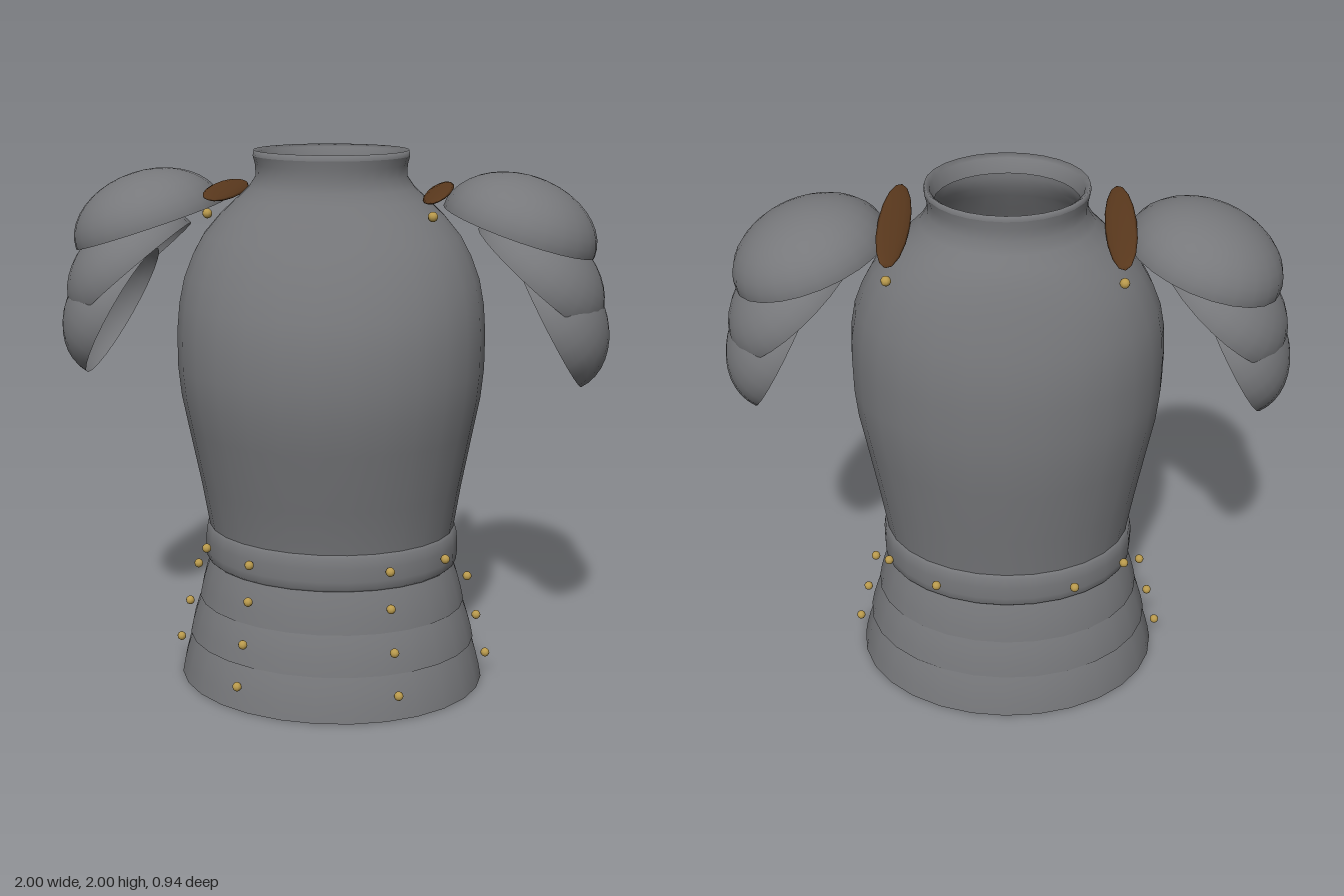
import * as THREE from 'three';

const steel = new THREE.MeshStandardMaterial({ color: 0x77787b, side: THREE.DoubleSide });
steel.name = 'steel';
const brass = new THREE.MeshStandardMaterial({ color: 0xb8994c });
brass.name = 'brass';
const leather = new THREE.MeshStandardMaterial({ color: 0x5c3a1e });
leather.name = 'leather';

// Closed shell through oval rows, bottom to top: [y, half width, front z, back z]
function loft(rows, segments = 28) {
  const pos = [], index = [];
  rows.forEach(([y, rx, front, back], i) => {
    for (let j = 0; j < segments; j++) {
      const t = (j / segments) * Math.PI * 2;
      const mid = (front - back) / 2, half = (front + back) / 2;
      pos.push(rx * Math.sin(t), y, mid + half * Math.cos(t));
      if (i < rows.length - 1) {
        const a = i * segments + j, b = i * segments + (j + 1) % segments;
        index.push(a, b, b + segments, a, b + segments, a + segments);
      }
    }
  });
  const g = new THREE.BufferGeometry();
  g.setAttribute('position', new THREE.Float32BufferAttribute(pos, 3));
  g.setIndex(index);
  g.computeVertexNormals();
  return g;
}

export function createModel() {
  const model = new THREE.Group();
  model.name = 'armour';
  const add = (name, geometry, material, parent = model) => {
    const mesh = new THREE.Mesh(geometry, material);
    mesh.name = name;
    parent.add(mesh);
    return mesh;
  };

  // Breastplate and backplate with a flared neck
  add('cuirass', loft([
    [0.5, 0.45, 0.34, 0.35], [0.61, 0.463, 0.355, 0.363], [0.78, 0.489, 0.393, 0.39],
    [1.0, 0.528, 0.447, 0.422], [1.12, 0.55, 0.467, 0.435], [1.23, 0.56, 0.475, 0.44],
    [1.36, 0.56, 0.466, 0.438], [1.46, 0.552, 0.44, 0.43], [1.55, 0.534, 0.408, 0.413],
    [1.63, 0.503, 0.373, 0.393], [1.7, 0.465, 0.338, 0.372], [1.77, 0.405, 0.3, 0.348],
    [1.83, 0.34, 0.27, 0.318], [1.87, 0.297, 0.25, 0.287], [1.91, 0.27, 0.243, 0.268],
    [1.95, 0.271, 0.245, 0.267], [1.98, 0.279, 0.25, 0.27],
  ]), steel);
  add('neckRim', loft([
    [1.98, 0.279, 0.25, 0.27], [2.0, 0.276, 0.247, 0.268],
    [1.99, 0.258, 0.225, 0.255], [1.94, 0.246, 0.208, 0.245],
  ]), steel);

  // Rounded waist belt
  add('belt', loft([
    [0.47, 0.465, 0.355, 0.365], [0.48, 0.476, 0.366, 0.376], [0.51, 0.479, 0.369, 0.379],
    [0.56, 0.479, 0.369, 0.379], [0.6, 0.474, 0.364, 0.374], [0.612, 0.46, 0.352, 0.362],
  ]), steel);

  // Three overlapping skirt plates: [bottom, top, half width low/high, front low/high, back low/high]
  [
    [0, 0.18, 0.583, 0.535, 0.458, 0.412, 0.468, 0.422],
    [0.165, 0.33, 0.548, 0.497, 0.422, 0.378, 0.432, 0.39],
    [0.315, 0.48, 0.508, 0.46, 0.388, 0.352, 0.4, 0.362],
  ].forEach(([y0, y1, xLow, xHigh, fLow, fHigh, bLow, bHigh], i) => {
    const rows = [0, 0.3, 0.6, 0.85, 1].map(t => {
      const k = t * (0.55 + 0.45 * t);
      return [y0 + (y1 - y0) * t, xLow + (xHigh - xLow) * k,
        fLow + (fHigh - fLow) * k, bLow + (bHigh - bLow) * k];
    });
    add('skirtPlate' + (i + 1), loft(rows), steel);
  });

  // Shoulder plates: [x, y, tilt in degrees, radius, dome height, depth radius]
  const lames = [
    [0.667, 1.722, 18, 0.282, 0.196, 0.287],
    [0.732, 1.55, 40.5, 0.275, 0.2, 0.277],
    [0.782, 1.402, 61, 0.265, 0.203, 0.267],
  ];
  const dome = new THREE.SphereGeometry(1, 24, 10, 0, Math.PI * 2, 0, Math.PI / 2);
  const ball = new THREE.SphereGeometry(1, 12, 8).rotateX(Math.PI / 2);
  for (const [side, s] of [['left', 1], ['right', -1]]) {
    const shoulder = new THREE.Group();
    shoulder.name = side + 'Pauldron';
    model.add(shoulder);
    lames.forEach(([x, y, tilt, r, h, d], i) => {
      const lame = add(side + 'ShoulderPlate' + (i + 1), dome, steel, shoulder);
      lame.scale.set(r, h, d);
      lame.position.set(s * x, y, -0.015);
      lame.rotation.z = -s * THREE.MathUtils.degToRad(tilt);
    });
    // Thin shoulder strap
    const strap = add(side + 'Strap', ball, leather);
    strap.scale.set(0.055, 0.012, 0.325);
    strap.position.set(s * 0.381, 1.853, -0.02);
    strap.rotation.z = s * 0.28;
  }

  // Rivets, mirrored left and right
  const rivet = new THREE.SphereGeometry(0.017, 10, 8);
  [
    [0.38, 1.81, 0.32], [0.38, 1.81, -0.35],
    [0.255, 0.55, 0.335], [0.255, 0.55, -0.352], [0.443, 0.55, 0.185], [0.443, 0.55, -0.207],
    [0.52, 0.41, -0.01], [0.26, 0.41, 0.342],
    [0.558, 0.253, -0.01], [0.277, 0.253, 0.37],
    [0.597, 0.098, -0.01], [0.296, 0.098, 0.397],
  ].forEach(([x, y, z]) => {
    for (const s of [1, -1]) add('rivet', rivet, brass).position.set(s * x, y, z);
  });

  return model;
}
